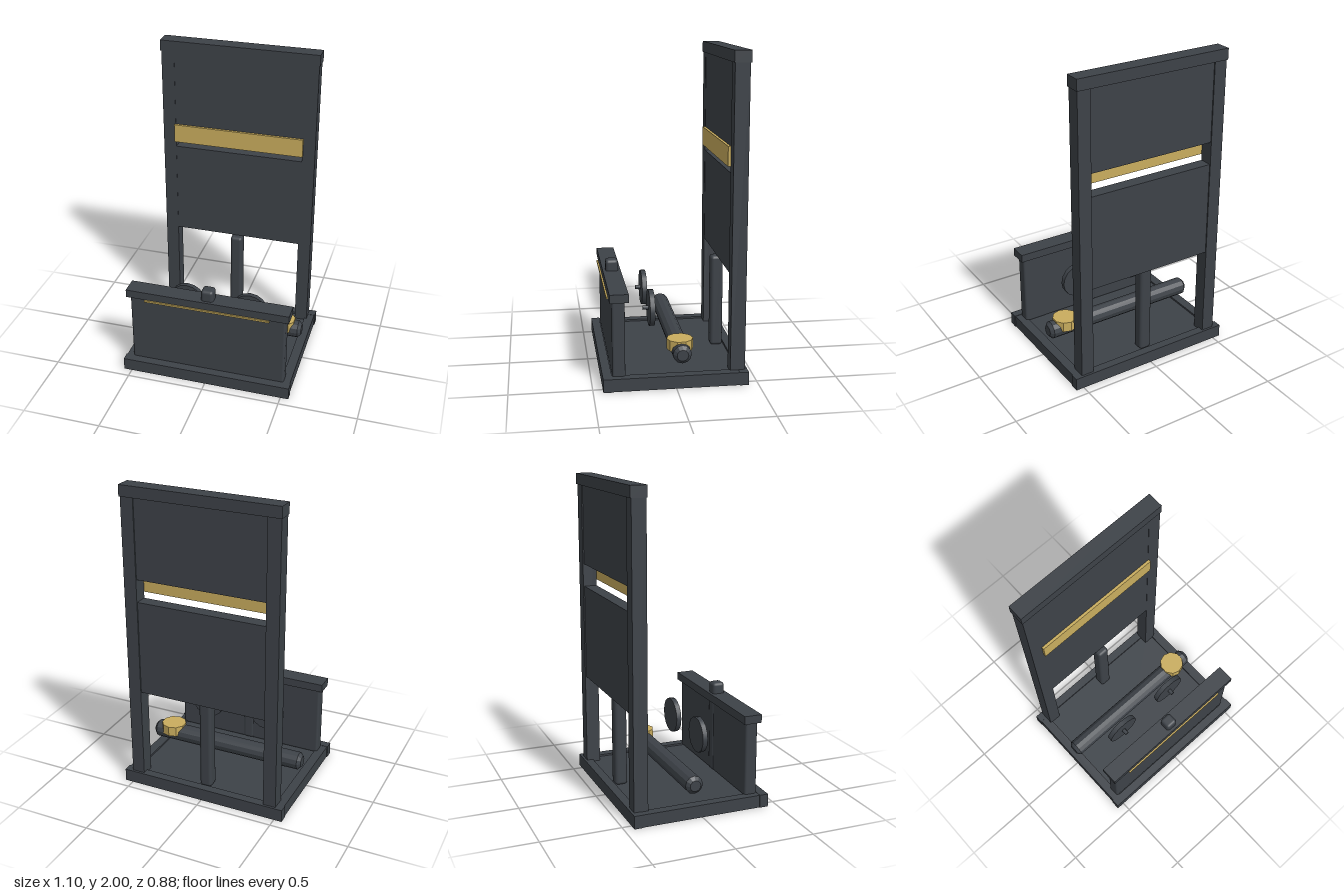
import * as THREE from 'three';
import { RoundedBoxGeometry } from 'three/addons/geometries/RoundedBoxGeometry.js';

export function createModel() {
  const model = new THREE.Group();
  const dark = new THREE.MeshStandardMaterial({ color: 0x3d4248 });
  dark.name = 'charcoal';
  const gold = new THREE.MeshStandardMaterial({ color: 0xc9ad5e });
  gold.name = 'gold';

  const add = (name, geometry, material, x = 0, y = 0, z = 0) => {
    const mesh = new THREE.Mesh(geometry, material);
    mesh.name = name;
    mesh.position.set(x, y, z);
    model.add(mesh);
    return mesh;
  };
  // Box given by its limits on each axis; a radius rounds its edges
  const box = (name, material, [x0, x1], [y0, y1], [z0, z1], radius = 0) => {
    const size = [x1 - x0, y1 - y0, z1 - z0];
    const geometry = radius
      ? new RoundedBoxGeometry(...size, 2, radius)
      : new THREE.BoxGeometry(...size);
    return add(name, geometry, material, (x0 + x1) / 2, (y0 + y1) / 2, (z0 + z1) / 2);
  };

  // Base tray with a low rim
  box('baseFloor', dark, [-0.53, 0.53], [0.002, 0.068], [-0.42, 0.42]);
  box('frontRail', dark, [-0.552, 0.552], [0, 0.082], [0.385, 0.44]);
  box('backRail', dark, [-0.552, 0.552], [0, 0.082], [-0.44, -0.385]);
  for (const [side, s] of [['left', 1], ['right', -1]]) {
    add(side + 'Rail', new THREE.BoxGeometry(0.06, 0.08, 0.77), dark, s * 0.517, 0.04, 0);
    // Tall uprights at the back
    add(side + 'Upright', new THREE.BoxGeometry(0.083, 1.89, 0.09), dark, s * 0.4615, 1.005, -0.38);
  }

  // Tall back frame: cap, two panels and the blade in the slot
  box('topCap', dark, [-0.508, 0.508], [1.93, 2], [-0.432, -0.33]);
  box('upperPanel', dark, [-0.42, 0.42], [1.425, 1.93], [-0.418, -0.337]);
  box('lowerPanel', dark, [-0.42, 0.42], [0.67, 1.28], [-0.418, -0.337]);
  box('blade', gold, [-0.425, 0.425], [1.32, 1.44], [-0.335, -0.318]);

  // Low front board with cap and trim
  box('frontBoard', dark, [-0.505, 0.505], [0.068, 0.58], [0.303, 0.382], 0.014);
  box('frontCap', dark, [-0.528, 0.528], [0.545, 0.597], [0.282, 0.396]);
  box('frontTrim', gold, [-0.405, 0.405], [0.534, 0.546], [0.385, 0.406]);

  // Rounded centre posts, front and back
  for (const [name, z] of [['frontPost', 0.338], ['backPost', -0.338]]) {
    box(name, dark, [-0.04, 0.04], [0.066, 0.668], [z - 0.04, z + 0.04], 0.02);
  }

  // Roller with bevelled ends
  const profile = [[0, -0.528], [0.035, -0.528], [0.057, -0.507], [0.057, 0.507], [0.035, 0.528], [0, 0.528]]
    .map(([r, y]) => new THREE.Vector2(r, y));
  const rollerGeometry = new THREE.LatheGeometry(profile, 12).toNonIndexed();
  rollerGeometry.computeVertexNormals();
  add('roller', rollerGeometry, dark, 0, 0.2, -0.04).rotation.z = Math.PI / 2;
  add('rollerKnob', new THREE.CylinderGeometry(0.081, 0.081, 0.066, 10).toNonIndexed(), gold, 0.4, 0.233, -0.04)
    .geometry.computeVertexNormals();

  // Two upright discs with short pins
  for (const [side, x] of [['left', 0.211], ['right', -0.213]]) {
    add(side + 'Disc', new THREE.CylinderGeometry(0.114, 0.114, 0.032, 16), dark, x, 0.404, 0.114)
      .rotation.x = Math.PI / 2;
    add(side + 'DiscPin', new THREE.CylinderGeometry(0.014, 0.014, 0.036, 8), dark, x, 0.404, 0.147)
      .rotation.x = Math.PI / 2;
  }
  return model;
}
